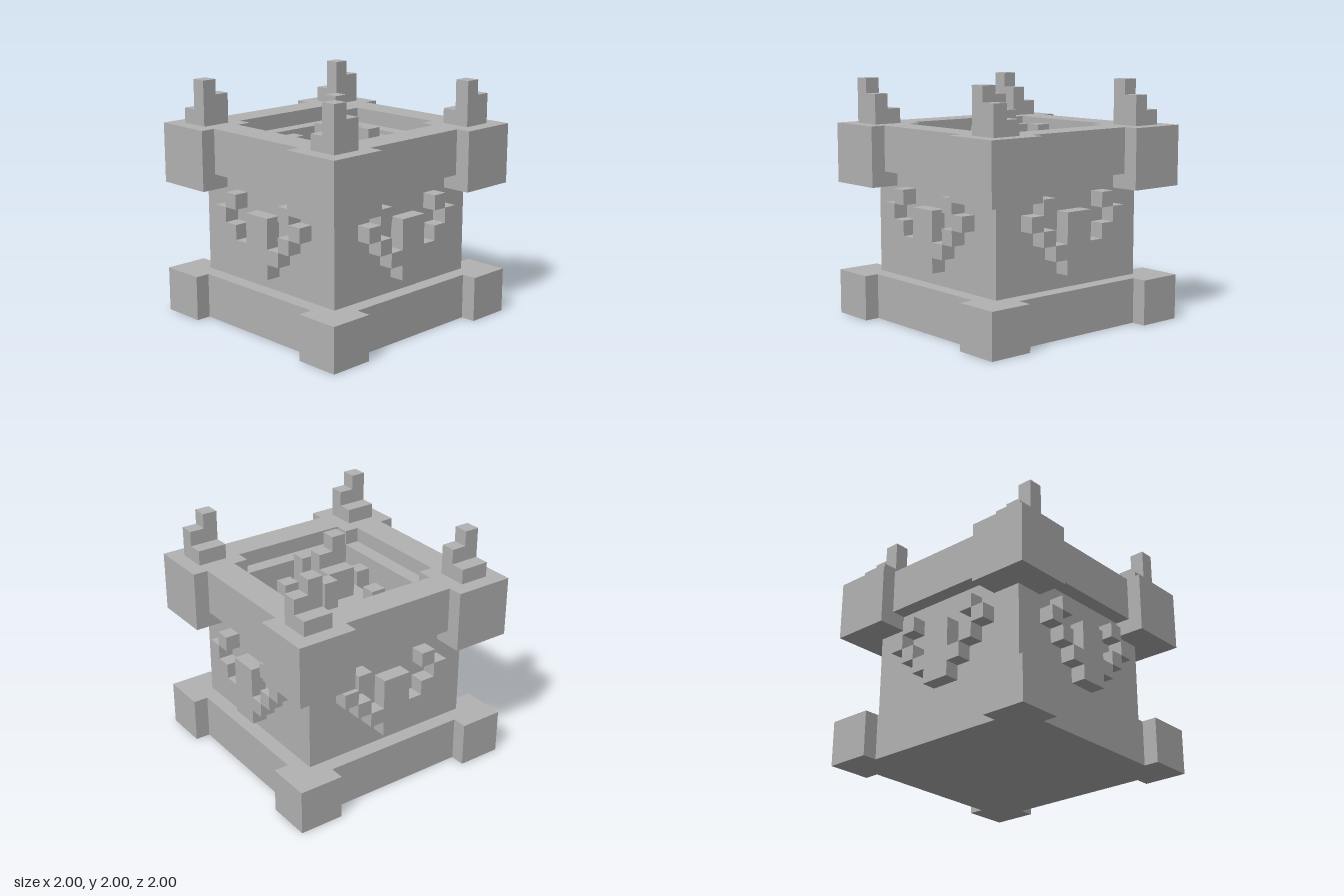
import * as THREE from 'three';

export function createModel() {
  const model = new THREE.Group();
  model.name = 'brazier';
  const stone = new THREE.MeshStandardMaterial({ color: 0xb2b2b2 });
  stone.name = 'stone grey';
  const U = 0.125; // one block

  // Box from its limits, measured in blocks
  function block(parent, name, x0, x1, y0, y1, z0, z1) {
    const geo = new THREE.BoxGeometry((x1 - x0) * U, (y1 - y0) * U, (z1 - z0) * U);
    const mesh = new THREE.Mesh(geo, stone);
    mesh.name = name;
    mesh.position.set((x0 + x1) / 2 * U, (y0 + y1) / 2 * U, (z0 + z1) / 2 * U);
    parent.add(mesh);
  }
  function group(name) {
    const g = new THREE.Group();
    g.name = name;
    model.add(g);
    return g;
  }

  // Plinth with four projecting corners
  const base = new THREE.Shape();
  const corner = [[8, 5], [8, 8], [5, 8], [5, 7]];
  const outline = [];
  for (let i = 0; i < 4; i++) {
    const c = Math.round(Math.cos(i * Math.PI / 2)), s = Math.round(Math.sin(i * Math.PI / 2));
    for (const [x, y] of [[7, 5], ...corner]) {
      outline.push(new THREE.Vector2((x * c - y * s) * U, (x * s + y * c) * U));
    }
  }
  base.setFromPoints(outline);
  const baseGeo = new THREE.ExtrudeGeometry(base, { depth: 3 * U, bevelEnabled: false });
  baseGeo.rotateX(-Math.PI / 2);
  const plinth = new THREE.Mesh(baseGeo, stone);
  plinth.name = 'plinth';
  model.add(plinth);

  // Body: solid below the fire bed, hollow above
  block(model, 'body', -6, 6, 3, 8, -6, 6);

  // Each side: upper wall, rim with inner ledge, and raised flame emblem
  for (let i = 0; i < 4; i++) {
    const side = group('side');
    side.rotation.y = i * Math.PI / 2;
    block(side, 'upperWall', -4, 6, 8, 10, 4, 6);
    block(side, 'rim', -4, 4, 10, 13, 5, 7);
    block(side, 'rimLedge', -4, 4, 10, 12, 4, 5);
    block(side, 'rimCorner', 4, 8, 9, 13, 4, 8);

    block(side, 'emblemCentre', -1, 1, 4, 8, 6, 7);
    for (const s of [-1, 1]) {
      for (const [x, y] of [[1, 5], [2, 6], [3, 7], [2, 8]]) {
        const x0 = s > 0 ? x : -x - 1;
        block(side, 'emblemBlock', x0, x0 + 1, y, y + 1, 6, 7);
      }
    }
  }

  // Small stepped flame on each rim corner, all facing the same way
  for (const x of [-7, 5]) {
    for (const z of [-7, 5]) {
      const flame = group('cornerFlame');
      block(flame, 'flameLow', x, x + 2, 13, 14, z, z + 1);
      block(flame, 'flameTall', x, x + 1, 13, 16, z + 1, z + 2);
      block(flame, 'flameMiddle', x + 1, x + 2, 13, 15, z + 1, z + 2);
    }
  }

  // Central fire: x0, x1, top, z0, z1 for each column
  const fire = group('centralFire');
  const columns = [
    [-1, 0, 15, 0, 1], [0, 1, 14, 0, 1], [-1, 1, 13, -1, 0],
    [1, 2, 13, -2, -1], [-2, -1, 12, -3, -2], [-3, -2, 12, 0, 1],
    [0, 1, 13, 2, 3], [2, 3, 12, 1, 2],
    [-2, -1, 11, -2, 2], [-1, 1, 11, -2, -1], [-1, 1, 11, 1, 2], [1, 2, 10, -1, 2],
  ];
  for (const [x0, x1, top, z0, z1] of columns) {
    block(fire, 'fireColumn', x0, x1, 8, top, z0, z1);
  }

  return model;
}
